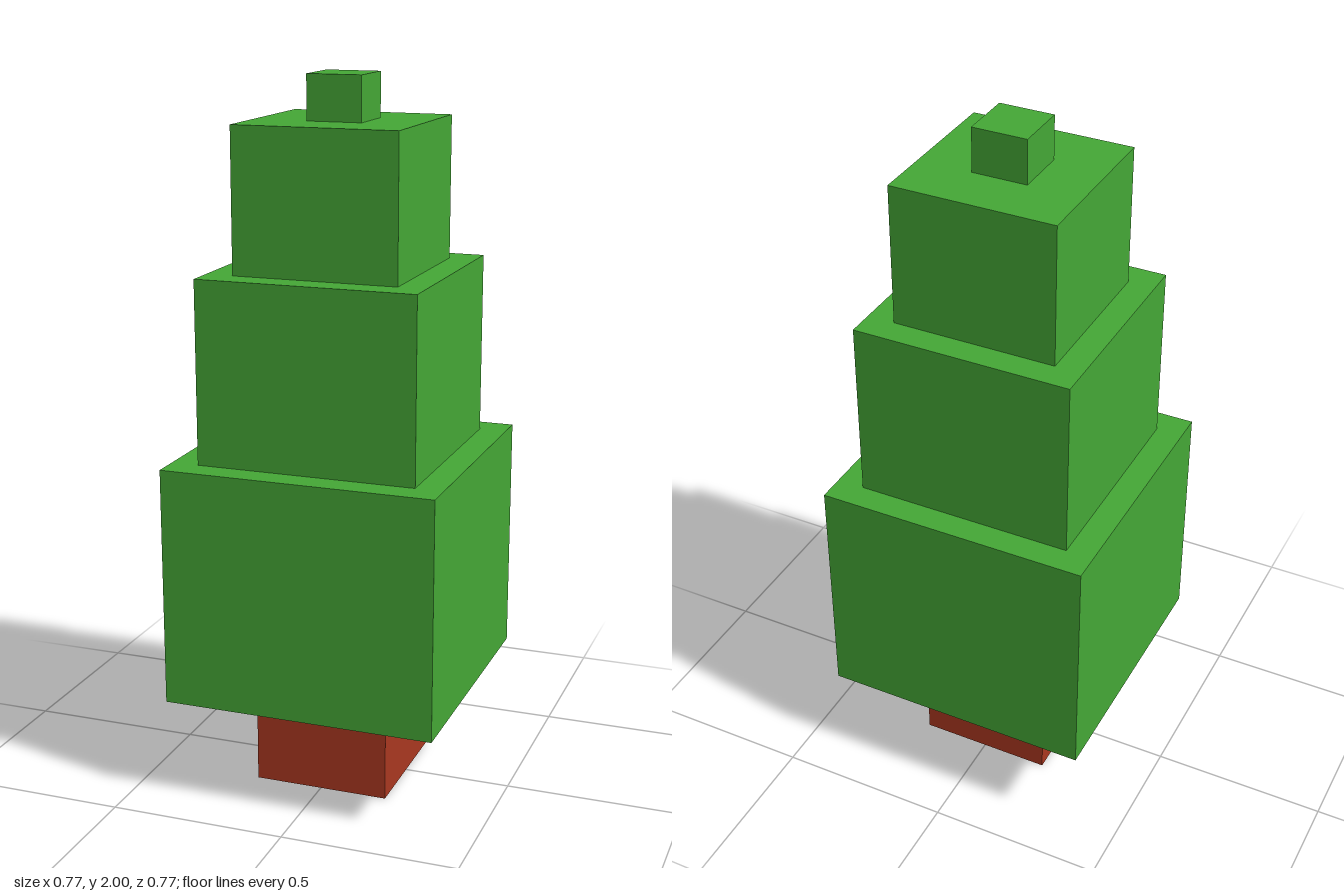
import * as THREE from 'three';

export function createModel() {
  const tree = new THREE.Group();
  tree.name = 'blockTree';
  const bark = new THREE.MeshStandardMaterial({ color: 0xab3820 });
  const leaves = new THREE.MeshStandardMaterial({ color: 0x45a836 });

  // Square block between two heights
  function block(name, width, bottom, top, material) {
    const mesh = new THREE.Mesh(new THREE.BoxGeometry(width, top - bottom, width), material);
    mesh.name = name;
    mesh.position.y = (bottom + top) / 2;
    tree.add(mesh);
  }

  // Trunk, then foliage tiers narrowing to the tip
  block('trunk', 0.387, 0, 0.29, bark);
  block('lowerFoliage', 0.774, 0.29, 0.965, leaves);
  block('middleFoliage', 0.619, 0.965, 1.477, leaves);
  block('upperFoliage', 0.464, 1.477, 1.876, leaves);
  block('treeTip', 0.155, 1.876, 2, leaves);

  return tree;
}
